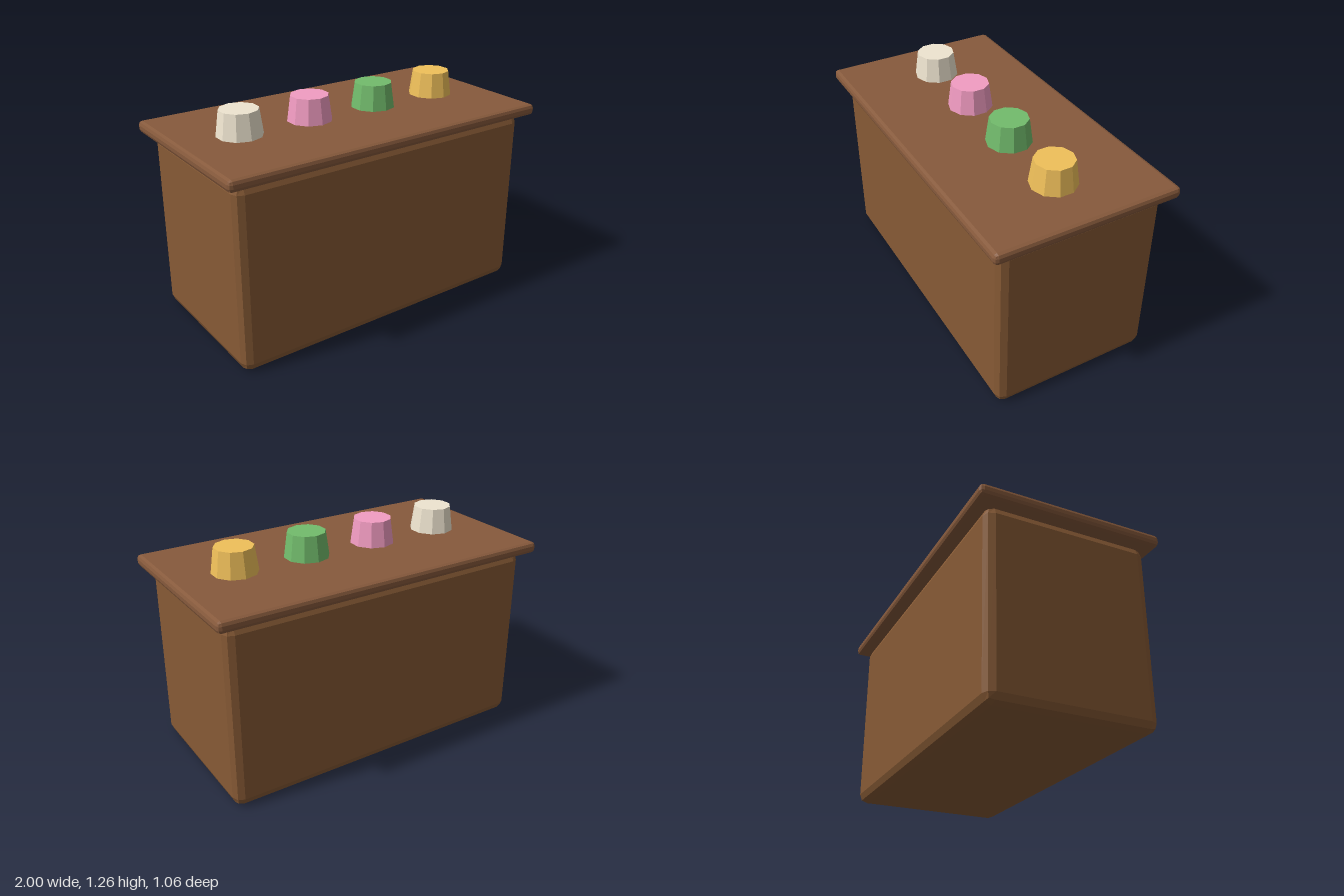
import * as THREE from 'three';
import { RoundedBoxGeometry } from 'three/addons/geometries/RoundedBoxGeometry.js';

const BODY_TOP = 1.055;
const LID_TOP = 1.12;
const TUB_TOP = 1.263;

function addMesh(group, name, geometry, color, x, y) {
  const material = new THREE.MeshStandardMaterial({ color, flatShading: true });
  const mesh = new THREE.Mesh(geometry, material);
  mesh.name = name;
  mesh.position.set(x, y, 0);
  group.add(mesh);
}

export function createModel() {
  const model = new THREE.Group();
  model.name = 'counter';

  // Counter body with bevelled edges
  addMesh(model, 'counterBody', new RoundedBoxGeometry(1.88, BODY_TOP, 0.94, 1, 0.05),
    0x875a35, 0, BODY_TOP / 2);

  // Overhanging worktop
  const lidHeight = LID_TOP - BODY_TOP;
  addMesh(model, 'worktop', new RoundedBoxGeometry(2, lidHeight, 1.06, 1, 0.022),
    0x875a3c, 0, BODY_TOP + lidHeight / 2);

  // Row of four tapered ten-sided tubs
  const tubHeight = TUB_TOP - LID_TOP;
  const tubs = [['creamTub', 0xefe5d0], ['pinkTub', 0xf29cc2], ['greenTub', 0x72bc6c], ['yellowTub', 0xf0c05a]];
  tubs.forEach(([name, color], i) => {
    addMesh(model, name, new THREE.CylinderGeometry(0.108, 0.128, tubHeight, 10),
      color, (i - 1.5) * 0.435, LID_TOP + tubHeight / 2);
  });

  return model;
}
